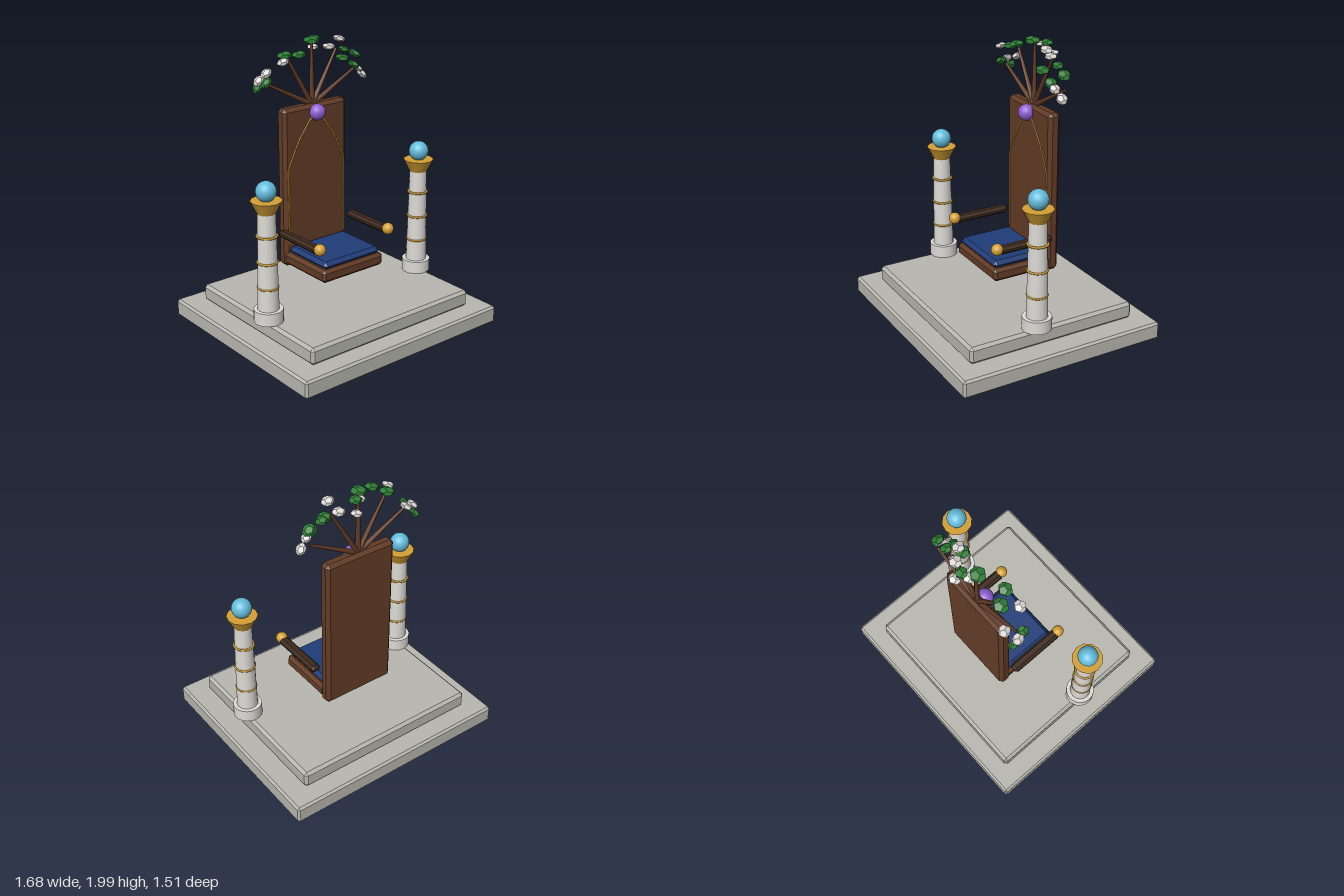
import * as THREE from 'three';
import { ConvexGeometry } from 'three/addons/geometries/ConvexGeometry.js';

const mat = (name, color, flatShading = false) => {
  const m = new THREE.MeshStandardMaterial({ color, flatShading });
  m.name = name;
  return m;
};

// Box with every edge chamfered by c, given as min and max corners
function chamferBox([x0, y0, z0], [x1, y1, z1], c) {
  const hx = (x1 - x0) / 2, hy = (y1 - y0) / 2, hz = (z1 - z0) / 2;
  const pts = [];
  for (const sx of [-1, 1]) for (const sy of [-1, 1]) for (const sz of [-1, 1]) {
    pts.push(
      new THREE.Vector3(sx * hx, sy * (hy - c), sz * (hz - c)),
      new THREE.Vector3(sx * (hx - c), sy * hy, sz * (hz - c)),
      new THREE.Vector3(sx * (hx - c), sy * (hy - c), sz * hz));
  }
  return new ConvexGeometry(pts).translate((x0 + x1) / 2, (y0 + y1) / 2, (z0 + z1) / 2);
}

export function createModel() {
  const root = new THREE.Group();
  root.name = 'throne';
  const stone = mat('stone', 0xb8b7b0);
  const marble = mat('marble', 0xdedbd6);
  const wood = mat('wood', 0x633c26);
  const darkWood = mat('dark wood', 0x3d291d);
  const gold = mat('gold', 0xd4a035);
  const cloth = mat('blue cloth', 0x1f3c78);
  const crystal = mat('blue crystal', 0x64bcdb);
  const gem = mat('purple gem', 0x9160d2);
  const leafGreen = mat('leaf green', 0x2f7d36, true);
  const blossom = mat('blossom white', 0xdedbd8, true);

  const add = (parent, name, geo, material, pos = [0, 0, 0]) => {
    const m = new THREE.Mesh(geo, material);
    m.name = name;
    m.position.set(...pos);
    parent.add(m);
    return m;
  };

  // Stepped platform
  add(root, 'lowerStep', chamferBox([-0.84, 0, -0.755], [0.84, 0.125, 0.755], 0.015), stone);
  add(root, 'upperStep', chamferBox([-0.69, 0.125, -0.625], [0.69, 0.245, 0.625], 0.02), stone);

  // Seat, cushion and tall back
  add(root, 'seat', chamferBox([-0.265, 0.415, -0.24], [0.265, 0.508, 0.21], 0.022), wood);
  add(root, 'cushion', chamferBox([-0.245, 0.5, -0.21], [0.245, 0.555, 0.197], 0.025), cloth);
  add(root, 'backrest', chamferBox([-0.27, 0.4, -0.295], [0.27, 1.535, -0.205], 0.024), wood);
  add(root, 'backGem', new THREE.SphereGeometry(0.057, 20, 14), gem, [0, 1.48, -0.19]);

  for (const s of [-1, 1]) {
    // Armrests with round gold ends
    add(root, 'armrest', chamferBox([s * 0.3 - 0.035, 0.643, -0.21], [s * 0.3 + 0.035, 0.695, 0.2], 0.018), darkWood);
    add(root, 'armKnob', new THREE.SphereGeometry(0.041, 16, 12), gold, [s * 0.3, 0.678, 0.21]);

    // Half of the pointed gold trim
    const path = new THREE.CurvePath();
    const pts = [[0.24, 0.56], [0.24, 1.12], [0.15, 1.3], [0.06, 1.425], [0, 1.48]]
      .map(([x, y]) => new THREE.Vector3(s * x, y, -0.203));
    for (let i = 1; i < pts.length; i++) path.add(new THREE.LineCurve3(pts[i - 1], pts[i]));
    add(root, 'backTrim', new THREE.TubeGeometry(path, 40, 0.006, 6), gold);

    // Pillars
    const pillar = new THREE.Group();
    pillar.name = 'pillar';
    pillar.position.set(s * 0.66, 0, 0.12);
    root.add(pillar);
    add(pillar, 'pillarBase', new THREE.CylinderGeometry(0.1, 0.1, 0.088, 20), marble, [0, 0.289, 0]);
    add(pillar, 'pillarShaft', new THREE.CylinderGeometry(0.06, 0.073, 0.68, 16), marble, [0, 0.67, 0]);
    for (const y of [0.488, 0.667, 0.848]) {
      add(pillar, 'pillarRing', new THREE.TorusGeometry(0.067, 0.008, 6, 20).rotateX(Math.PI / 2), gold, [0, y, 0]);
    }
    add(pillar, 'pillarCapital', new THREE.CylinderGeometry(0.105, 0.06, 0.088, 12), gold, [0, 1.044, 0]);
    add(pillar, 'pillarOrb', new THREE.SphereGeometry(0.069, 20, 14), crystal, [0, 1.148, 0]);
  }

  // Branches fanning from the top of the back
  const start = new THREE.Vector3(0, 1.52, -0.25);
  for (const [x, y] of [[-0.37, 1.72], [-0.21, 1.88], [0, 1.95], [0.21, 1.88], [0.37, 1.72]]) {
    const dir = new THREE.Vector3(x, y, -0.25).sub(start);
    const branch = add(root, 'branch', new THREE.CylinderGeometry(0.009, 0.02, dir.length(), 8), wood,
      start.clone().addScaledVector(dir, 0.5).toArray());
    branch.quaternion.setFromUnitVectors(new THREE.Vector3(0, 1, 0), dir.normalize());
  }

  // Leaves and blossoms: x, y, z, radius, tilt
  const leafShape = new THREE.DodecahedronGeometry(1, 0);
  const scatter = (name, material, list) => list.forEach(([x, y, z, r, tilt]) => {
    const leaf = add(root, name, leafShape, material, [x, y, z]);
    leaf.scale.set(r, r * 0.52, r);
    leaf.rotation.z = tilt;
  });
  scatter('leaf', leafGreen, [
    [-0.41, 1.695, -0.305, 0.042, 1.1], [-0.395, 1.74, -0.225, 0.042, 0.8],
    [-0.225, 1.893, -0.25, 0.052, 0.15], [-0.17, 1.905, -0.165, 0.048, 0.15],
    [-0.01, 1.966, -0.24, 0.055, 0], [0.065, 1.96, -0.305, 0.043, -0.1],
    [0.21, 1.825, -0.18, 0.05, -0.2], [0.28, 1.863, -0.25, 0.04, -0.3],
    [0.37, 1.823, -0.24, 0.047, -0.6], [0.31, 1.765, -0.18, 0.044, -0.7],
  ]);
  scatter('blossom', blossom, [
    [-0.415, 1.745, -0.28, 0.043, 0.8], [-0.33, 1.775, -0.315, 0.044, 0.7],
    [-0.3, 1.875, -0.165, 0.042, 0.4], [0.02, 1.945, -0.29, 0.04, 0.2],
    [0.085, 1.89, -0.345, 0.04, 0.1], [0.165, 1.895, -0.27, 0.045, -0.1],
    [0.205, 1.955, -0.21, 0.044, -0.3], [0.35, 1.735, -0.185, 0.04, -0.7],
    [0.405, 1.68, -0.205, 0.042, -0.9],
  ]);
  return root;
}
